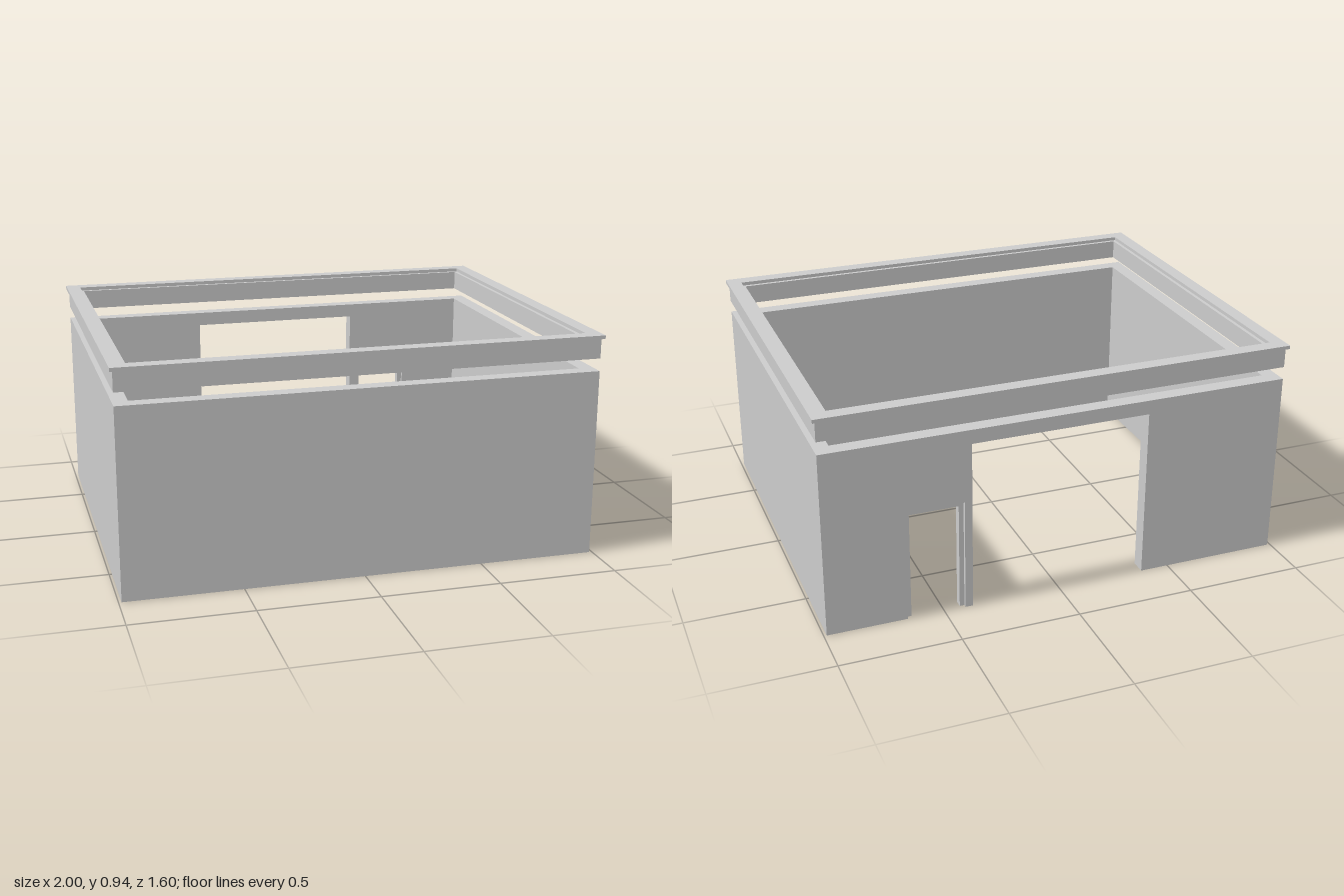
import * as THREE from 'three';

const material = new THREE.MeshStandardMaterial({ color: 0xcccccc, flatShading: true });
const X = 0.988, Z = 0.788, WALL_H = 0.79, T = 0.063;

function polygon(points) {
  return new THREE.Shape(points.map(([x, y]) => new THREE.Vector2(x, y)));
}

function extrude(name, shape, depth) {
  const mesh = new THREE.Mesh(
    new THREE.ExtrudeGeometry(shape, { depth, bevelEnabled: false }), material);
  mesh.name = name;
  return mesh;
}

// Plan shape (x, z) raised upright from y0 by height
function upright(name, shape, y0, height) {
  const mesh = extrude(name, shape, height);
  mesh.rotation.x = -Math.PI / 2;
  mesh.position.y = y0;
  return mesh;
}

// Rectangular ring in plan, outer and inner half sizes
function ring(ox, oz, ix, iz) {
  const rect = (x, z) => [[-x, -z], [x, -z], [x, z], [-x, z]];
  const shape = polygon(rect(ox, oz));
  shape.holes.push(new THREE.Path(rect(ix, iz).map(([x, z]) => new THREE.Vector2(x, z))));
  return shape;
}

export function createModel() {
  const model = new THREE.Group();
  model.name = 'roomShell';

  // Front and side walls as one U in plan (plan y is -z)
  const ix = X - T, iz = Z - T;
  model.add(upright('frontAndSideWalls', polygon([
    [-X, -Z], [X, -Z], [X, iz], [ix, iz], [ix, -iz], [-ix, -iz], [-ix, iz], [-X, iz],
  ]), 0, WALL_H));

  // Back wall with a wide opening and a small doorway, both open to the ground
  const wide = 0.378, wideTop = 0.73;
  const door = [0.41, 0.655], doorTop = 0.48;
  const back = extrude('backWall', polygon([
    [-X, 0], [-wide, 0], [-wide, wideTop], [wide, wideTop], [wide, 0],
    [door[0], 0], [door[0], doorTop], [door[1], doorTop], [door[1], 0],
    [X, 0], [X, WALL_H], [-X, WALL_H],
  ]), T);
  back.position.z = -Z;
  model.add(back);

  // Door frame, slightly recessed inside the doorway
  const f = 0.02, recess = 0.015;
  const frame = extrude('doorFrame', polygon([
    [door[0], 0], [door[0] + f, 0], [door[0] + f, doorTop - f],
    [door[1] - f, doorTop - f], [door[1] - f, 0], [door[1], 0],
    [door[1], doorTop], [door[0], doorTop],
  ]), T - 2 * recess);
  frame.position.z = -Z + recess;
  model.add(frame);

  // Floating parapet band with an overhanging coping
  model.add(upright('parapetBand', ring(X, Z, ix, iz), 0.843, 0.083));
  model.add(upright('parapetCoping', ring(1, 0.8, 0.94, 0.74), 0.926, 0.015));

  return model;
}
